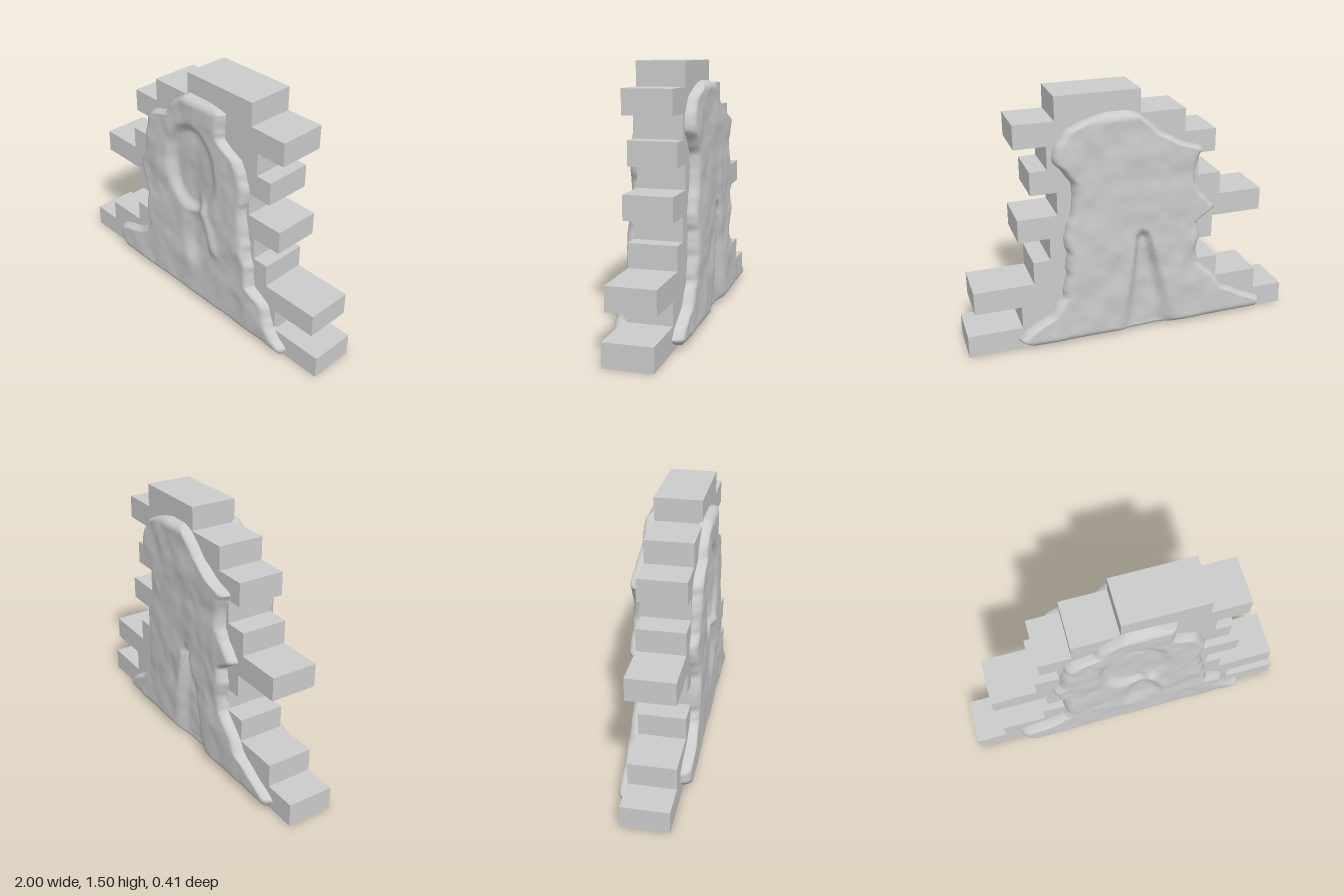
import * as THREE from 'three';

const material = new THREE.MeshStandardMaterial({ color: 0xcccccc, side: THREE.DoubleSide });
const { smoothstep, lerp, clamp } = THREE.MathUtils;

// Repeatable smooth noise in -1..1
function hash(i, j) {
  const s = Math.sin(i * 127.1 + j * 311.7) * 43758.5453;
  return 2 * (s - Math.floor(s)) - 1;
}
function noise(x, y) {
  const i = Math.floor(x), j = Math.floor(y);
  const u = smoothstep(x - i, 0, 1), v = smoothstep(y - j, 0, 1);
  return lerp(lerp(hash(i, j), hash(i + 1, j), u), lerp(hash(i, j + 1), hash(i + 1, j + 1), u), v);
}

// Outline rows [y, left x, right x], bottom to top
const FRONT = [
  [0.015, -0.6, 0.77], [0.06, -0.67, 0.78], [0.1, -0.71, 0.72], [0.16, -0.71, 0.67],
  [0.2, -0.64, 0.66], [0.24, -0.5, 0.65], [0.3, -0.41, 0.62], [0.36, -0.4, 0.52],
  [0.5, -0.4, 0.5], [0.6, -0.39, 0.48], [0.7, -0.43, 0.46], [0.82, -0.45, 0.43],
  [0.88, -0.4, 0.44], [0.98, -0.39, 0.45], [1.08, -0.38, 0.43], [1.15, -0.35, 0.38],
  [1.19, -0.31, 0.3], [1.22, -0.2, 0.27], [1.28, -0.18, 0.25], [1.33, -0.12, 0.26],
  [1.38, -0.05, 0.26], [1.4, -0.02, 0.1],
];
const BACK = [
  [0.015, -0.82, 0.62], [0.07, -0.85, 0.72], [0.12, -0.76, 0.67], [0.2, -0.6, 0.52],
  [0.3, -0.52, 0.45], [0.41, -0.42, 0.42], [0.5, -0.39, 0.41], [0.6, -0.41, 0.41], [0.69, -0.4, 0.42],
  [0.76, -0.5, 0.4], [0.84, -0.44, 0.38], [0.92, -0.38, 0.37], [1.02, -0.38, 0.38],
  [1.1, -0.39, 0.44], [1.14, -0.42, 0.48], [1.18, -0.3, 0.48], [1.25, -0.17, 0.45], [1.32, -0.1, 0.4],
  [1.37, -0.04, 0.28], [1.4, 0.04, 0.16],
];

// Arched niche, sharp on one side, with a draped ridge below it
function frontRecess(x, y) {
  const niche = 1 - smoothstep(Math.hypot((x - 0.03) / 0.22, (y - 0.94) / 0.3), 0.74, 1);
  const dish = 1 - smoothstep(Math.hypot((x - 0.08) / 0.14, (y - 0.5) / 0.24), 0.3, 1);
  const ridgeX = 0.09 + (0.8 - y) * 0.42;
  const ridge = Math.exp(-(((x - ridgeX) / 0.035) ** 2)) *
    smoothstep(y, 0.4, 0.5) * (1 - smoothstep(y, 0.7, 0.82));
  const fade = 1 - 0.5 * smoothstep(x, 0, 0.22);
  return Math.max(niche * 0.042 * fade, dish * 0.03) - ridge * 0.02;
}

// Tapering cleft, widest at the ground
function backRecess(x, y) {
  const t = clamp((0.7 - y) / 0.65, 0, 1);
  const centre = -0.04 - 0.04 * t;
  const half = 0.025 + 0.15 * t;
  return 0.045 * (1 - smoothstep(Math.abs(x - centre), half * 0.5, half)) * smoothstep(y, 0, 0.05) *
    (1 - smoothstep(y, 0.62, 0.7));
}

function outlineAt(rows, y) {
  let k = 0;
  while (k < rows.length - 2 && y > rows[k + 1][0]) k++;
  const [a, b] = [rows[k], rows[k + 1]];
  const t = clamp((y - a[0]) / (b[0] - a[0]), 0, 1);
  return [lerp(a[1], b[1], t), lerp(a[2], b[2], t)];
}

// Plaster coat: a raised sheet with rounded borders, on the side given by sign
function plaster(name, rows, recess, sign) {
  const nx = 64, ny = 110, positions = [], index = [];
  const y0 = rows[0][0], y1 = rows[rows.length - 1][0];
  for (let i = 0; i <= ny; i++) {
    const y = lerp(y0, y1, i / ny);
    const [left, right] = outlineAt(rows, y);
    for (let j = 0; j <= nx; j++) {
      const t = j / nx;
      const u = lerp(t, (1 - Math.cos(Math.PI * t)) / 2, 0.8);
      const ragged = 0.009 * noise(y * 22, sign * 5 + (t > 0.5 ? 9 : 0)) * Math.abs(2 * t - 1);
      const x = lerp(left, right, u) + ragged;
      const border = Math.min(u * (right - left), (1 - u) * (right - left), y - y0, y1 - y);
      const e = clamp(border / 0.05, 0, 1);
      const rise = Math.sqrt(1 - (1 - e) ** 2);
      const lumps = 0.007 * noise(x * 8 + 20, y * 7 + sign * 30) + 0.003 * noise(x * 18, y * 14 + sign * 50);
      const z = 0.125 + rise * (0.068 + lumps - recess(x, y));
      positions.push(x, y, sign * z);
      if (i < ny && j < nx) {
        const a = i * (nx + 1) + j, b = a + 1, c = a + nx + 1, d = c + 1;
        if (sign > 0) index.push(a, b, d, a, d, c);
        else index.push(a, d, b, a, c, d);
      }
    }
  }
  const geometry = new THREE.BufferGeometry();
  geometry.setAttribute('position', new THREE.Float32BufferAttribute(positions, 3));
  geometry.setIndex(index);
  geometry.computeVertexNormals();
  const mesh = new THREE.Mesh(geometry, material);
  mesh.name = name;
  return mesh;
}

// Staggered brick courses: [left x, right x], bottom to top
const COURSES = [
  [-1, 1], [-0.81, 0.68], [-0.54, 0.95], [-0.4, 0.6], [-0.5, 0.5], [-0.81, 0.68],
  [-0.54, 0.45], [-0.4, 0.6], [-0.5, 0.5], [-0.31, 0.68], [-0.04, 0.45],
];

// Stepped wall as one shell, open underneath
function brickWall() {
  const height = 1.505 / COURSES.length;
  const edge = (side) => COURSES.flatMap((course, row) => [0, 1].map(
    (end) => new THREE.Vector2(course[side], 0.005 + height * (row + end))));
  const shape = new THREE.Shape([...edge(1), ...edge(0).reverse()]);
  const solid = new THREE.ExtrudeGeometry(shape, { depth: 0.275, bevelEnabled: false });
  solid.translate(0, 0, -0.135);

  const p = solid.attributes.position, kept = [];
  for (let i = 0; i < p.count; i += 3) {
    const underside = [0, 1, 2].every((k) => p.getY(i + k) < 0.01);
    if (!underside) kept.push(i, i + 1, i + 2);
  }
  solid.setIndex(kept);
  const wall = new THREE.Mesh(solid, material);
  wall.name = 'brickWall';
  return wall;
}

export function createModel() {
  const model = new THREE.Group();
  model.name = 'ruinedWall';
  model.add(
    brickWall(),
    plaster('frontPlaster', FRONT, frontRecess, 1),
    plaster('backPlaster', BACK, backRecess, -1),
  );
  return model;
}
